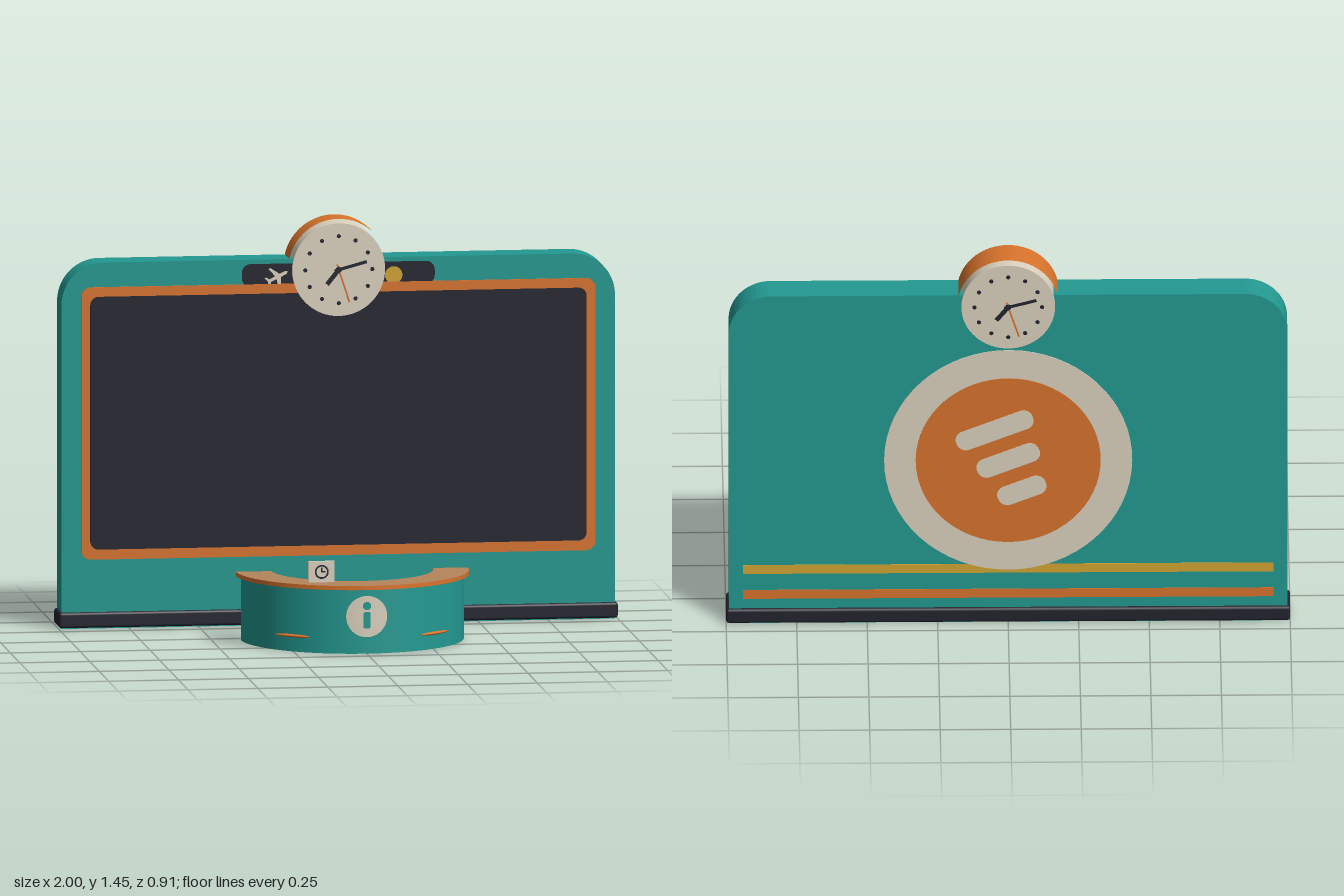
import * as THREE from 'three';
import { toCreasedNormals } from 'three/addons/utils/BufferGeometryUtils.js';
import { RoundedBoxGeometry } from 'three/addons/geometries/RoundedBoxGeometry.js';

const material = (name, color) => Object.assign(new THREE.MeshStandardMaterial({ color }), { name });
const teal = material('teal', 0x239a92);
const orange = material('orange', 0xd9742c);
const dark = material('dark', 0x22232e);
const cream = material('cream', 0xdcd2be);
const yellow = material('yellow', 0xd2a633);
const wood = material('wood', 0xb5855a);

const BOARD_FRONT = -0.318, BOARD_BACK = -0.435, DESK_Z = 0.04, DESK_R = 0.397;

function add(parent, name, geometry, mat, x = 0, y = 0, z = 0) {
  const mesh = new THREE.Mesh(geometry, mat);
  mesh.name = name;
  mesh.position.set(x, y, z);
  parent.add(mesh);
  return mesh;
}

function group(parent, name, x = 0, y = 0, z = 0) {
  const g = new THREE.Group();
  g.name = name;
  g.position.set(x, y, z);
  parent.add(g);
  return g;
}

// Rectangle centred on x, from y0 to y1, with separate top and bottom corner radii
function roundedRect(w, y0, y1, top, bottom = top) {
  const h = w / 2, s = new THREE.Shape();
  s.moveTo(-h + bottom, y0);
  s.lineTo(h - bottom, y0);
  if (bottom) s.absarc(h - bottom, y0 + bottom, bottom, -Math.PI / 2, 0);
  s.lineTo(h, y1 - top);
  s.absarc(h - top, y1 - top, top, 0, Math.PI / 2);
  s.lineTo(-h + top, y1);
  s.absarc(-h + top, y1 - top, top, Math.PI / 2, Math.PI);
  s.lineTo(-h, y0 + bottom);
  if (bottom) s.absarc(-h + bottom, y0 + bottom, bottom, Math.PI, Math.PI * 1.5);
  return s;
}

const extrude = (shape, depth, curveSegments = 16) =>
  toCreasedNormals(new THREE.ExtrudeGeometry(shape, { depth, bevelEnabled: false, curveSegments }), 0.5);

const disc = (r, depth, segments = 48) =>
  new THREE.CylinderGeometry(r, r, depth, segments).rotateX(Math.PI / 2).translate(0, 0, depth / 2);

// Half ring lying flat, bulging towards +z, from y = 0 up to the height
function halfRing(outer, inner, height) {
  const s = new THREE.Shape();
  s.absarc(0, 0, outer, 0, Math.PI, false);
  s.lineTo(-inner, 0);
  s.absarc(0, 0, inner, Math.PI, 0, true);
  s.closePath();
  return extrude(s, height, 48).rotateX(Math.PI / 2).translate(0, height, 0);
}

// Bend a flat geometry round the desk front
function wrap(geometry, r) {
  const p = geometry.attributes.position;
  for (let i = 0; i < p.count; i++) {
    const a = p.getX(i) / r;
    p.setXYZ(i, r * Math.sin(a), p.getY(i), r * Math.cos(a));
  }
  geometry.computeVertexNormals();
  return geometry;
}

// Bar from the centre outwards to (x, y)
function hand(parent, name, x, y, width, mat, z, tail = 0) {
  const length = Math.hypot(x, y);
  const g = new THREE.BoxGeometry(width, length + tail, 0.002).translate(0, (length - tail) / 2, 0);
  add(parent, name, g, mat, 0, 0, z).rotation.z = Math.atan2(-x, y);
}

function clockFace(parent, name, turn) {
  const face = group(parent, name);
  face.rotation.y = turn;
  const z = 0.0735;
  for (let i = 0; i < 12; i++) {
    const a = i * Math.PI / 6;
    add(face, 'hourDot', disc(0.0075, 0.002, 12), dark, 0.12 * Math.sin(a), 0.12 * Math.cos(a), z - 0.001);
  }
  hand(face, 'hourHand', -0.042, -0.052, 0.016, dark, z);
  hand(face, 'minuteHand', 0.1, 0.027, 0.011, dark, z + 0.0005, 0.015);
  hand(face, 'secondHand', 0.038, -0.117, 0.006, orange, z + 0.001, 0.02);
  add(face, 'hub', disc(0.011, 0.003, 16), dark, 0, 0, z);
}

function buildBoard(model) {
  const board = group(model, 'displayBoard');
  add(board, 'boardBody', extrude(roundedRect(1.98, 0, 1.31, 0.15, 0), BOARD_FRONT - BOARD_BACK), teal, 0, 0, BOARD_BACK);
  add(board, 'plinth', new RoundedBoxGeometry(2, 0.056, 0.139, 2, 0.01), dark, 0, 0.031, -0.3775);

  // Screen and header on the front
  add(board, 'headerPanel', extrude(roundedRect(0.69, 1.212, 1.294, 0.032), 0.002), dark, 0, 0, BOARD_FRONT);
  add(board, 'screenFrame', extrude(roundedRect(1.84, 0.247, 1.222, 0.035), 0.005), orange, 0, 0, BOARD_FRONT);
  add(board, 'screen', extrude(roundedRect(1.776, 0.283, 1.188, 0.03), 0.002), dark, 0, 0, BOARD_FRONT + 0.005);
  add(board, 'headerSun', disc(0.031, 0.003, 32), yellow, 0.198, 1.246, BOARD_FRONT + 0.001);

  // Plane pictogram: half outline mirrored about its axis
  const half = [[0, 0.044], [0.006, 0.036], [0.006, 0.014], [0.04, -0.006], [0.04, -0.014],
    [0.006, -0.004], [0.005, -0.026], [0.017, -0.035], [0.017, -0.041], [0, -0.036]];
  const outline = [...half, ...half.slice(1, -1).reverse().map(([x, y]) => [-x, y])];
  const plane = new THREE.Shape(outline.map(([x, y]) => new THREE.Vector2(x, y)));
  add(board, 'planePictogram', extrude(plane, 0.002), cream, -0.22, 1.246, BOARD_FRONT + 0.002).rotation.z = -1.1;

  // Emblem and stripes on the back
  const back = group(board, 'backPanel', 0, 0, BOARD_BACK);
  back.rotation.y = Math.PI;
  add(back, 'upperStripe', new THREE.BoxGeometry(1.88, 0.035, 0.004), yellow, 0, 0.215, 0);
  add(back, 'lowerStripe', new THREE.BoxGeometry(1.88, 0.035, 0.004), orange, 0, 0.115, 0);
  const emblem = group(back, 'emblem', 0, 0.65, 0);
  emblem.rotation.z = 0.38;
  add(emblem, 'emblemRing', disc(0.44, 0.003, 64), cream);
  add(emblem, 'emblemDisc', disc(0.328, 0.005, 64), orange);
  [0.29, 0.235, 0.18].forEach((w, i) =>
    add(emblem, 'emblemBar', extrude(roundedRect(w, -0.038, 0.038, 0.034), 0.002), cream, 0, 0.13 * (1 - i), 0.005));
}

function buildClock(model) {
  const clock = group(model, 'clock', 0, 1.27, -0.3775);
  add(clock, 'clockDrum', disc(0.166, 0.145, 64).translate(0, 0, -0.0725), cream);
  const band = new THREE.CylinderGeometry(0.18, 0.18, 0.117, 64, 1, true).rotateX(Math.PI / 2);
  add(clock, 'clockBand', band, orange);
  clockFace(clock, 'frontFace', 0);
  clockFace(clock, 'backFace', Math.PI);
}

function buildDesk(model) {
  const desk = group(model, 'desk', 0, 0, DESK_Z);
  add(desk, 'deskBody', halfRing(0.394, 0.3, 0.229), cream, 0, 0.001, 0);
  add(desk, 'deskFront', new THREE.CylinderGeometry(DESK_R, DESK_R, 0.23, 64, 1, true, -Math.PI / 2, Math.PI), teal, 0, 0.115, 0);
  add(desk, 'deskUnderside', new THREE.RingGeometry(0.3, DESK_R, 48, 1, 0, Math.PI).rotateX(Math.PI / 2), dark);
  add(desk, 'counterTop', halfRing(0.415, 0.288, 0.015), [wood, orange], 0, 0.23, 0);

  // Round information badge following the curve
  const badge = group(desk, 'badge', 0, 0.133, 0);
  add(badge, 'badgeDisc', wrap(new THREE.RingGeometry(0.0005, 0.074, 40, 6), DESK_R + 0.002), cream);
  add(badge, 'badgeDot', wrap(new THREE.CircleGeometry(0.015, 24), DESK_R + 0.004), teal, 0, 0.038, 0);
  add(badge, 'badgeStem', wrap(new THREE.ShapeGeometry(roundedRect(0.026, -0.042, 0.016, 0.006)), DESK_R + 0.004), teal);

  // Slim accents low on each side
  for (const side of [-1, 1]) {
    const a = side * 0.7;
    const g = new THREE.SphereGeometry(1, 24, 12).scale(0.072, 0.006, 0.011);
    add(desk, 'accentStrip', g, orange, 0.395 * Math.sin(a), 0.056, 0.395 * Math.cos(a)).rotation.y = a;
  }

  // Small sign standing on the counter
  const sign = group(desk, 'counterSign', -0.149, 0.2825, 0.297);
  add(sign, 'signPlate', new THREE.BoxGeometry(0.093, 0.075, 0.015), cream);
  add(sign, 'signRing', new THREE.RingGeometry(0.019, 0.025, 32), dark, 0, 0, 0.0085);
  hand(sign, 'signHandLong', 0, 0.016, 0.005, dark, 0.0085);
  hand(sign, 'signHandShort', 0.013, 0, 0.005, dark, 0.0085);
}

function buildStool(model) {
  const stool = group(model, 'stool', 0, 0, 0.135);
  add(stool, 'stoolBase', new THREE.CylinderGeometry(0.04, 0.045, 0.012, 32), dark, 0, 0.006, 0);
  add(stool, 'stoolPole', new THREE.CylinderGeometry(0.008, 0.008, 0.145, 16), cream, 0, 0.08, 0);
  add(stool, 'stoolSeat', new THREE.CylinderGeometry(0.052, 0.046, 0.025, 32), orange, 0, 0.163, 0);
}

export function createModel() {
  const model = new THREE.Group();
  model.name = 'informationPoint';
  buildBoard(model);
  buildClock(model);
  buildDesk(model);
  buildStool(model);
  return model;
}
